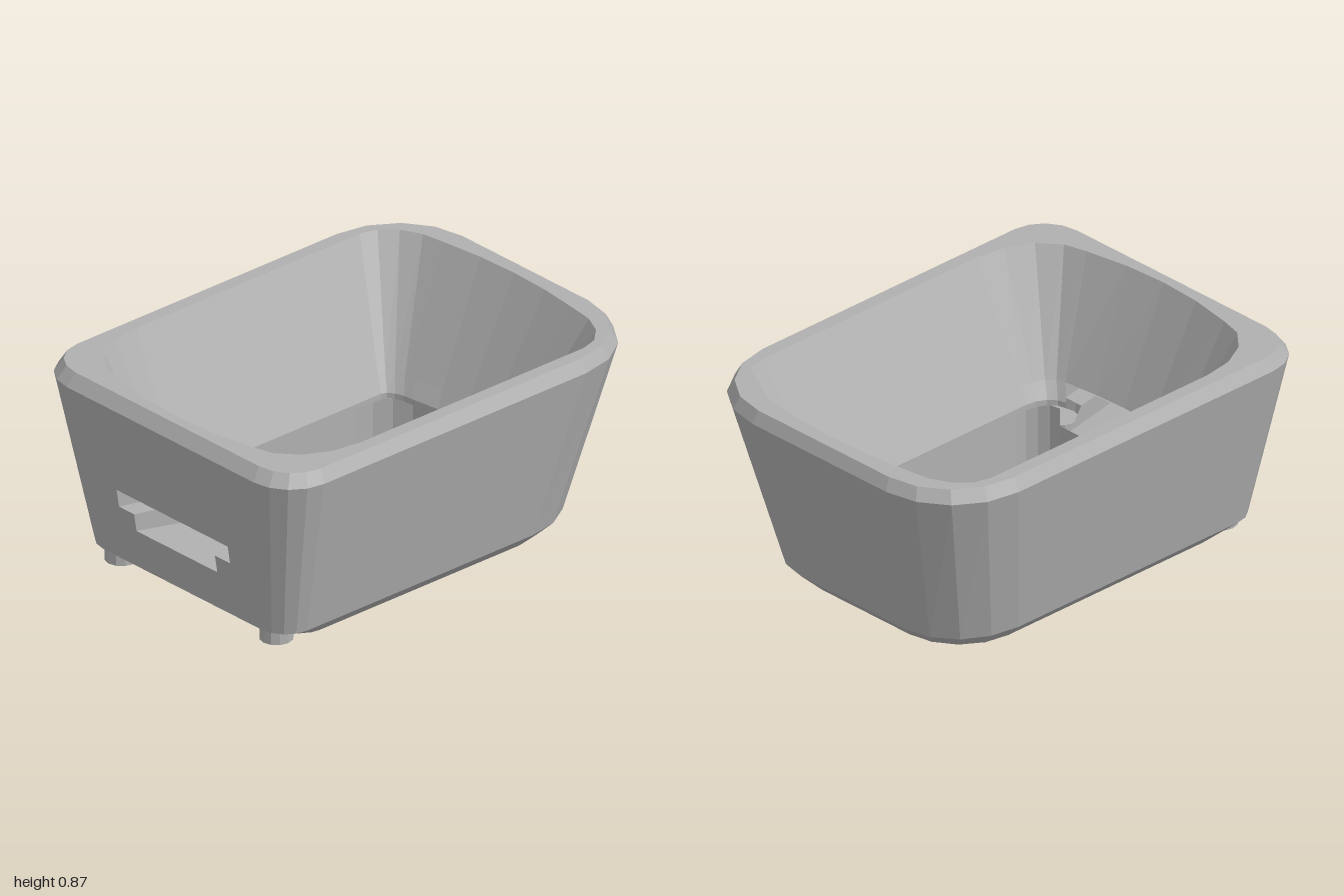
import * as THREE from 'three';

const SEG = 4; // segments per edge and per corner

// Rounded-rectangle ring, starting at the front edge and running towards +x.
// front / back = [z at the middle, corner size in x, corner size in z, bow]
function ring(y, hx, front, back) {
  const pts = [];
  const half = (sign, [z, rx, rz, bow = 0]) => {
    const flat = hx - rx;
    const corner = (side) => (t) => [
      side * (flat + rx * Math.sin(t)),
      z - sign * (bow + rz * (1 - Math.cos(t))),
    ];
    const edge = [];
    for (let i = 0; i <= SEG; i++) {
      const f = -1 + (2 * i) / SEG;
      edge.push([f * flat, z - sign * bow * f * f]);
    }
    const arc = [];
    for (let i = 1; i <= SEG; i++) arc.push(corner(1)((i / SEG) * Math.PI / 2));
    const mirrored = arc.map(([x, zz]) => [-x, zz]).reverse();
    const all = [...mirrored, ...edge, ...arc];
    return sign > 0 ? all : all.reverse();
  };
  for (const [x, z] of [...half(1, front), ...half(-1, back)]) pts.push([x, y, z]);
  return pts;
}

// Closed loft through rings; skip(band, segment) leaves an opening
function loft(rings, skip) {
  const pos = [];
  const n = rings[0].length;
  rings.forEach((a, j) => {
    const b = rings[(j + 1) % rings.length];
    for (let i = 0; i < n; i++) {
      if (skip(j, i)) continue;
      const k = (i + 1) % n;
      pos.push(...a[i], ...a[k], ...b[k], ...a[i], ...b[k], ...b[i]);
    }
  });
  const g = new THREE.BufferGeometry();
  g.setAttribute('position', new THREE.Float32BufferAttribute(pos, 3));
  g.computeVertexNormals();
  return g;
}

// Slope of the front wall
const frontZ = (y) => 0.88 + (y - 0.07) * 0.12 / 0.74;

export function createModel() {
  const group = new THREE.Group();
  const grey = new THREE.MeshStandardMaterial({ color: 0xb0b0b0 });
  grey.name = 'grey plastic';
  grey.flatShading = true;
  grey.side = THREE.DoubleSide;
  const add = (name, geometry) => {
    const mesh = new THREE.Mesh(geometry, grey);
    mesh.name = name;
    group.add(mesh);
    return mesh;
  };

  // Hollow body: up the outside, over the rim, down the funnel, through the base
  const rings = [
    ring(0, 0.53, [0.72, 0.1, 0.1], [-0.74, 0.28, 0.28]),
    ring(0.07, 0.6, [0.88, 0.13, 0.13], [-0.81, 0.3, 0.34]),
    ring(0.81, 0.755, [1, 0.2, 0.2], [-1, 0.37, 0.38]),
    ring(0.865, 0.725, [0.96, 0.18, 0.17], [-0.975, 0.35, 0.36]),
    ring(0.865, 0.665, [0.915, 0.27, 0.35, 0.045], [-0.915, 0.28, 0.2, 0.03]),
    ring(0.37, 0.42, [0.698, 0.1, 0.15, 0.02], [-0.665, 0.13, 0.08, 0.025]),
    ring(0.3, 0.385, [0.665, 0.1, 0.13, 0.015], [-0.63, 0.12, 0.06, 0.025]),
    ring(0.275, 0.385, [0.665, 0.1, 0.13, 0.015], [-0.63, 0.12, 0.06, 0.025]),
    ring(0.275, 0.43, [0.63, 0.13, 0.12], [-0.65, 0.22, 0.2]),
    ring(0.195, 0.43, [0.63, 0.13, 0.12], [-0.65, 0.22, 0.2]),
    ring(0, 0.43, [0.63, 0.13, 0.12], [-0.65, 0.22, 0.2]),
  ];
  const openBands = [1, 5, 6, 7, 8];
  const isFront = (i) => i >= SEG && i < 2 * SEG;
  add('body', loft(rings, (j, i) => openBands.includes(j) && isFront(i)));

  // Front wall with the stepped slot
  const slot = [
    [-0.33, 0.41], [-0.33, 0.33], [-0.24, 0.33], [-0.24, 0.25],
    [0.24, 0.25], [0.24, 0.33], [0.33, 0.33], [0.33, 0.41],
  ];
  const toV = ([x, y]) => new THREE.Vector2(x, y);
  const wall = new THREE.Shape([[-0.47, 0.07], [0.47, 0.07], [0.555, 0.81], [-0.555, 0.81]].map(toV));
  wall.holes.push(new THREE.Path(slot.map(toV)));
  const wallGeo = new THREE.ShapeGeometry(wall);
  const p = wallGeo.attributes.position;
  for (let i = 0; i < p.count; i++) p.setZ(i, frontZ(p.getY(i)));
  wallGeo.computeVertexNormals();
  add('frontWall', wallGeo);

  // Slot lining, falling towards the inside
  const lining = [];
  slot.forEach((a, i) => {
    const b = slot[(i + 1) % slot.length];
    const outer = ([x, y]) => [x, y, frontZ(y)];
    const inner = ([x, y]) => (y < 0.3 ? [x, y - 0.055, 0.63] : [x, y - 0.04, 0.69]);
    lining.push(...outer(a), ...outer(b), ...inner(b), ...outer(a), ...inner(b), ...inner(a));
  });
  const liningGeo = new THREE.BufferGeometry();
  liningGeo.setAttribute('position', new THREE.Float32BufferAttribute(lining, 3));
  liningGeo.computeVertexNormals();
  add('slotLining', liningGeo);

  // Round front feet with a recessed screw hole
  const footProfile = [[0, 0.06], [0.032, 0.06], [0.032, 0], [0.07, 0], [0.07, 0.11], [0, 0.11]].map(toV);
  for (const side of [-1, 1]) {
    const foot = add(side > 0 ? 'leftFoot' : 'rightFoot', new THREE.LatheGeometry(footProfile, 12));
    foot.position.set(side * 0.46, 0, 0.79);
  }
  return group;
}
